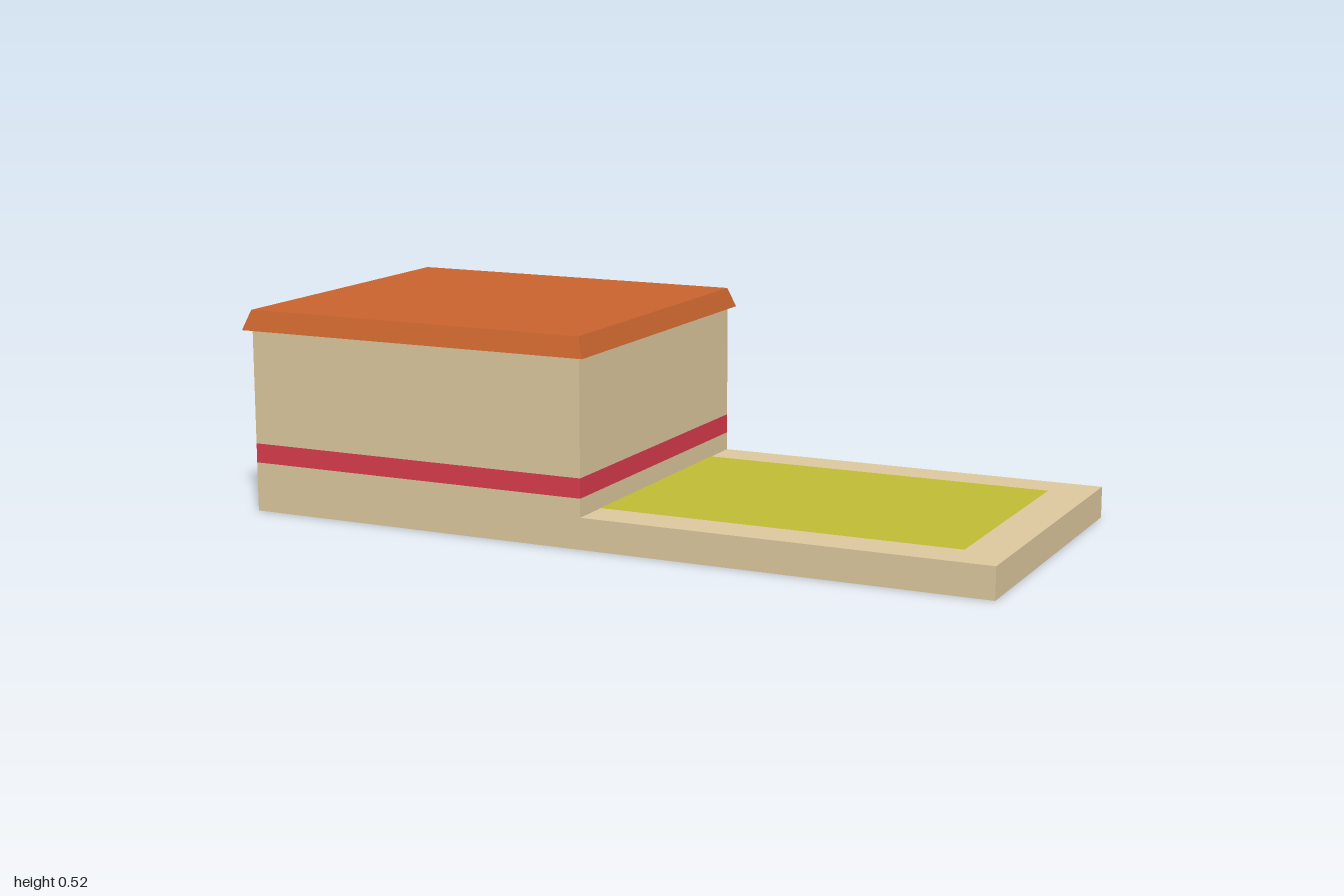
import * as THREE from 'three';

const paint = (color) => new THREE.MeshStandardMaterial({ color });

// Box given by its minimum and maximum corners
function block(name, [x0, y0, z0], [x1, y1, z1], material) {
  const geometry = new THREE.BoxGeometry(x1 - x0, y1 - y0, z1 - z0);
  const mesh = new THREE.Mesh(geometry, material);
  mesh.position.set((x0 + x1) / 2, (y0 + y1) / 2, (z0 + z1) / 2);
  mesh.name = name;
  return mesh;
}

export function createModel() {
  const group = new THREE.Group();
  group.name = 'houseWithYard';
  const tan = paint(0xdcc89e);
  const red = paint(0xd93b4d);
  const orange = paint(0xc8632d);
  const green = paint(0xc0bb34);

  const west = -0.98, east = -0.045, depth = 0.43;

  // Slab under the house and yard
  group.add(block('baseSlab', [west, 0, -depth], [1, 0.08, depth], tan));

  // House walls, stacked with a flush coloured band
  const layers = [
    ['lowerWall', 0.08, 0.127, tan],
    ['wallBand', 0.127, 0.177, red],
    ['upperWall', 0.177, 0.472, tan],
  ];
  for (const [name, y0, y1, material] of layers) {
    group.add(block(name, [west, y0, -depth], [east, y1, depth], material));
  }

  // Roof: overhanging slab whose top edge tapers in
  const roof = block('roof', [-1, 0.472, -0.448], [-0.028, 0.523, 0.448], orange);
  const p = roof.geometry.attributes.position;
  for (let i = 0; i < p.count; i++) {
    if (p.getY(i) > 0) {
      p.setX(i, p.getX(i) - Math.sign(p.getX(i)) * 0.018);
      p.setZ(i, p.getZ(i) - Math.sign(p.getZ(i)) * 0.018);
    }
  }
  roof.geometry.computeVertexNormals();
  group.add(roof);

  // Lawn lying on the yard
  const lawnEnd = 0.89;
  const lawn = new THREE.Mesh(new THREE.PlaneGeometry(lawnEnd - east, 0.65), green);
  lawn.rotation.x = -Math.PI / 2;
  lawn.position.set((east + lawnEnd) / 2, 0.081, 0);
  lawn.name = 'lawn';
  group.add(lawn);

  return group;
}
